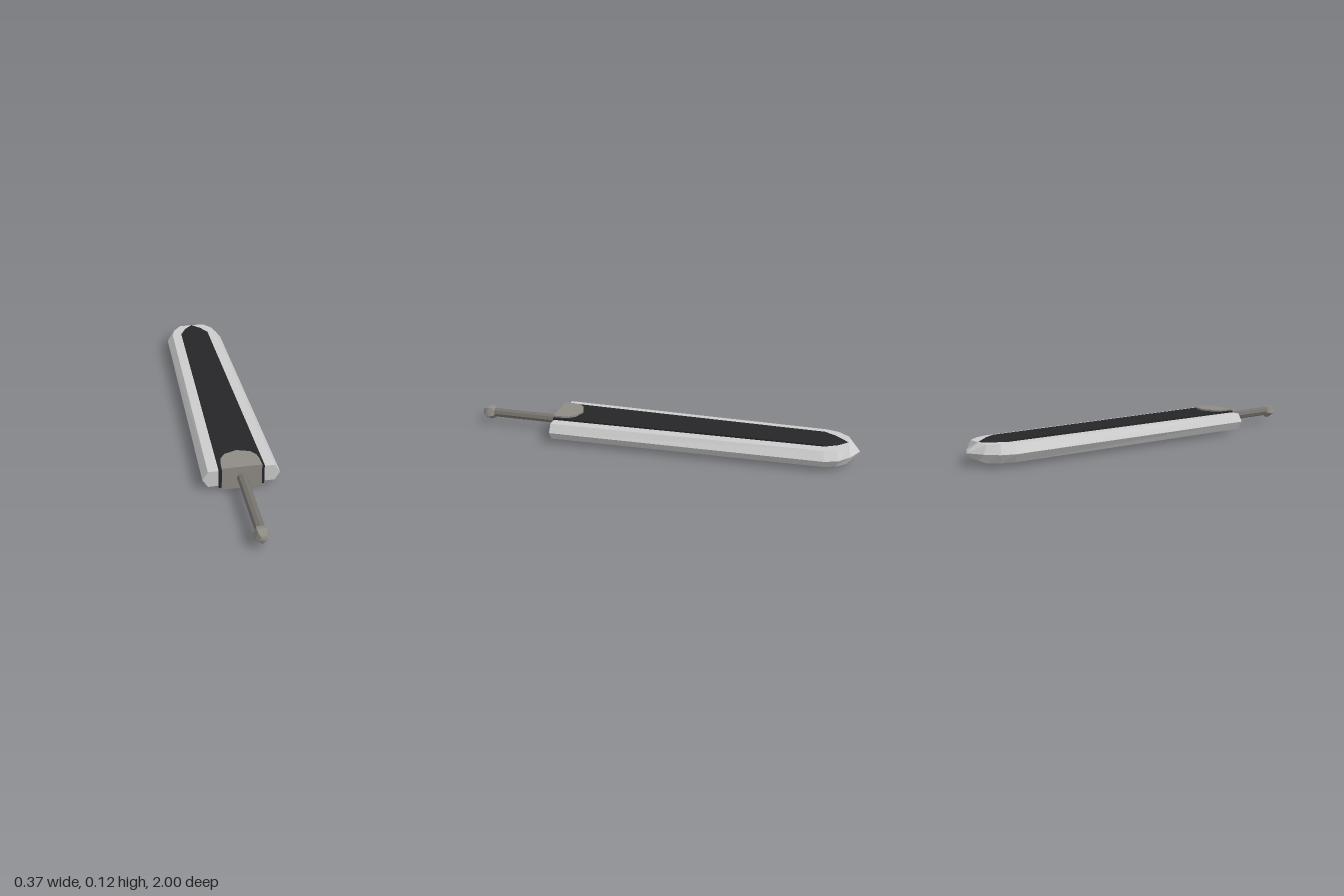
import * as THREE from 'three';

const MID = 0.06; // height of the sword's middle plane

// Mirror a right-hand outline of [x, z] points (the last one lies on the centre line)
const mirror = (half) => [...half, ...half.slice(0, -1).reverse().map(([x, z]) => [-x, z])];

// Solid made of stacked outlines, given from bottom to top as [halfOutline, y]
function layered(name, color, layers) {
  const rings = layers.map(([half, y]) => mirror(half).map(([x, z]) => new THREE.Vector3(x, MID + y, z)));
  const pos = [];
  const tri = (...pts) => pts.forEach((p) => pos.push(p.x, p.y, p.z));
  for (let k = 0; k < rings.length - 1; k++) {
    const a = rings[k], b = rings[k + 1];
    for (let i = 0; i < a.length; i++) {
      const j = (i + 1) % a.length;
      tri(a[i], a[j], b[j]);
      tri(a[i], b[j], b[i]);
    }
  }
  const cap = (ring, up) => {
    const flat = ring.map((p) => new THREE.Vector2(p.x, -p.z));
    for (const [a, b, c] of THREE.ShapeUtils.triangulateShape(flat, [])) {
      if (up) tri(ring[a], ring[b], ring[c]);
      else tri(ring[a], ring[c], ring[b]);
    }
  };
  cap(rings[0], false);
  cap(rings[rings.length - 1], true);
  const geo = new THREE.BufferGeometry();
  geo.setAttribute('position', new THREE.Float32BufferAttribute(pos, 3));
  geo.computeVertexNormals();
  return makeMesh(name, geo, color);
}

function makeMesh(name, geo, color) {
  const mesh = new THREE.Mesh(geo, new THREE.MeshStandardMaterial({ color, flatShading: true }));
  mesh.name = name;
  return mesh;
}

export function createModel() {
  const sword = new THREE.Group();
  sword.name = 'sword';

  // Broad blade, bevelled to a sharp edge all round
  const edge = [[0.183, 0.55], [0.16, -0.84], [0.135, -0.905], [0.08, -0.957], [0, -1]];
  const face = [[0.157, 0.55], [0.13, -0.83], [0.112, -0.89], [0.07, -0.94], [0, -0.942]];
  sword.add(layered('blade', 0xcccccc, [[face, -0.042], [edge, 0], [face, 0.042]]));

  // Dark core standing proud of both blade faces, sloped at the tip
  const core = [[0.107, 0.555], [0.078, -0.83], [0.045, -0.895], [0, -0.94]];
  const coreTop = [[0.107, 0.555], [0.078, -0.82], [0.045, -0.875], [0, -0.91]];
  sword.add(layered('core', 0x262628, [[coreTop, -0.051], [core, -0.043], [core, 0.043], [coreTop, 0.051]]));

  // Guard block with a rounded end towards the blade
  const guard = [[0.094, 0.56], [0.092, 0.51], [0.085, 0.478], [0.062, 0.447], [0, 0.427]];
  sword.add(layered('guard', 0x8f8b84, [[guard, -0.06], [guard, 0.06]]));

  // Grip
  const grip = new THREE.CylinderGeometry(0.024, 0.024, 0.4, 8).rotateX(Math.PI / 2);
  grip.translate(0, MID, 0.74);
  sword.add(makeMesh('grip', grip, 0x76726d));

  // Five-sided pommel, one corner pointing down
  const pommel = new THREE.SphereGeometry(0.04, 5, 6, Math.PI / 2).rotateX(Math.PI / 2);
  pommel.translate(0, MID, 0.96);
  sword.add(makeMesh('pommel', pommel, 0x8f8b84));

  return sword;
}
